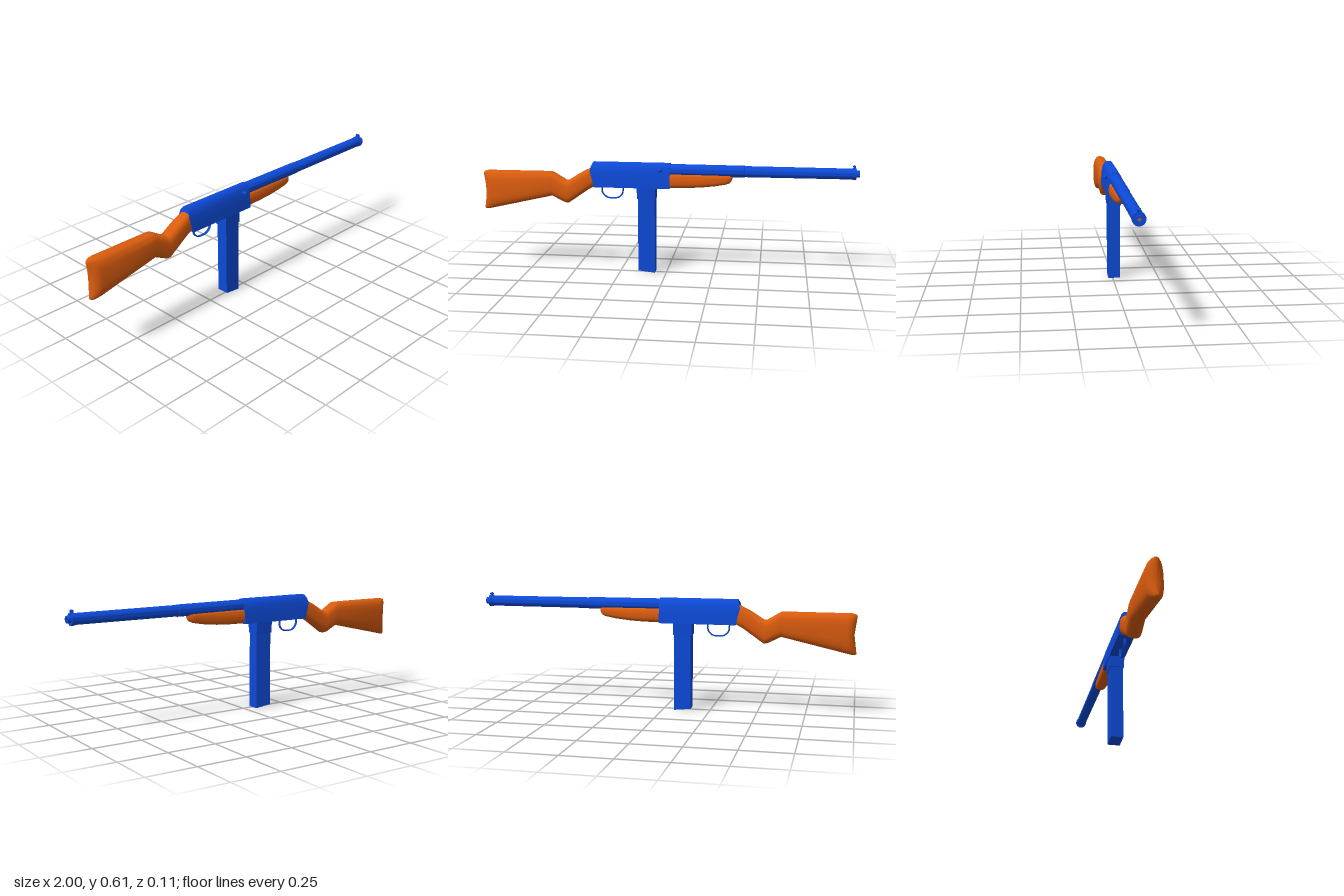
import * as THREE from 'three';
import { toCreasedNormals } from 'three/addons/utils/BufferGeometryUtils.js';

const AXIS_Y = 0.56; // barrel centre line

// Loft along +x: each station is [topX, topY, bottomX, bottomY, halfWidth, hollow]
function loft(stations, power = 0.7, n = 28) {
  const pos = [], idx = [];
  const curve = (v) => Math.sign(v) * Math.pow(Math.abs(v), power);
  for (const [tx, ty, bx, by, w, hollow = 0] of stations) {
    for (let j = 0; j < n; j++) {
      const t = (j / n) * Math.PI * 2;
      const s = curve(Math.sin(t)), c = curve(Math.cos(t));
      pos.push((tx + bx) / 2 + (s * (tx - bx)) / 2 + hollow * (1 - s * s),
        (ty + by) / 2 + (s * (ty - by)) / 2, w * c);
    }
  }
  const rows = stations.length;
  for (let i = 0; i < rows - 1; i++) {
    for (let j = 0; j < n; j++) {
      const k = (j + 1) % n, a = i * n, b = a + n;
      idx.push(a + j, b + j, b + k, a + j, b + k, a + k);
    }
  }
  // end caps
  [stations[0], stations[rows - 1]].forEach(([tx, ty, bx, by, , hollow = 0], e) => {
    const centre = pos.length / 3, row = e ? (rows - 1) * n : 0;
    pos.push((tx + bx) / 2 + hollow, (ty + by) / 2, 0);
    for (let j = 0; j < n; j++) {
      const k = (j + 1) % n;
      idx.push(centre, row + (e ? k : j), row + (e ? j : k));
    }
  });
  const geo = new THREE.BufferGeometry();
  geo.setAttribute('position', new THREE.Float32BufferAttribute(pos, 3));
  geo.setIndex(idx);
  return toCreasedNormals(geo, 0.7);
}

// Move every vertex by a rule
function reshape(geo, rule) {
  const p = geo.attributes.position, v = new THREE.Vector3();
  for (let i = 0; i < p.count; i++) {
    v.fromBufferAttribute(p, i);
    rule(v);
    p.setXYZ(i, v.x, v.y, v.z);
  }
  return toCreasedNormals(geo, 0.5);
}

export function createModel() {
  const blue = new THREE.MeshStandardMaterial({ color: 0x0d4ad8 });
  blue.name = 'blue metal';
  const orange = new THREE.MeshStandardMaterial({ color: 0xdb5c0e });
  orange.name = 'orange wood';

  const model = new THREE.Group();
  model.name = 'model';
  const body = new THREE.Group();
  body.name = 'body';
  body.position.z = -0.008;
  model.add(body);
  const add = (name, geo, mat, x = 0, y = 0, z = 0) => {
    const mesh = new THREE.Mesh(geo, mat);
    mesh.name = name;
    mesh.position.set(x, y, z);
    body.add(mesh);
    return mesh;
  };

  // Shoulder stock with hollowed butt and bent wrist
  add('stock', loft([
    [-1.0, 0.525, -1.0, 0.33, 0.012, 0.013],
    [-0.993, 0.533, -0.993, 0.324, 0.022, 0.011],
    [-0.975, 0.538, -0.975, 0.326, 0.035, 0.005],
    [-0.95, 0.538, -0.95, 0.332, 0.043],
    [-0.64, 0.538, -0.635, 0.404, 0.043],
    [-0.615, 0.536, -0.62, 0.408, 0.043],
    [-0.545, 0.494, -0.55, 0.373, 0.042],
    [-0.53, 0.493, -0.53, 0.37, 0.042],
    [-0.455, 0.54, -0.42, 0.447, 0.041],
    [-0.4, 0.567, -0.38, 0.468, 0.038],
  ], 0.65), orange);

  // Receiver: extruded section with a sloped rear end
  const half = [[0.042, 0.465], [0.04, 0.51], [0.036, 0.55], [0.03, 0.575], [0.019, 0.591], [0.01, 0.596]];
  const outline = [...half, ...half.map(([z, y]) => [-z, y]).reverse()];
  const section = new THREE.Shape(outline.map(([z, y]) => new THREE.Vector2(z, y)));
  const receiver = new THREE.ExtrudeGeometry(section, { depth: 0.43, bevelEnabled: false });
  receiver.rotateY(Math.PI / 2).translate(-0.41, 0, 0);
  add('receiver', reshape(receiver, (v) => {
    if (v.x < -0.2) v.x += v.y < 0.56 ? (0.56 - v.y) * 0.26 : (v.y - 0.56) * 0.5;
  }), blue);

  // Barrel, muzzle collar and bore
  const profile = [[0, 0], [0.032, 0], [0.031, 0.41], [0.029, 0.412], [0.028, 0.965],
    [0.031, 0.965], [0.031, 0.982], [0.018, 0.982], [0.018, 1.0], [0.009, 1.0], [0.009, 0.97]];
  const barrel = new THREE.LatheGeometry(profile.map(([r, x]) => new THREE.Vector2(r, x)), 28);
  barrel.rotateZ(-Math.PI / 2);
  add('barrel', toCreasedNormals(barrel, 0.6), blue, 0, AXIS_Y);
  add('bore', new THREE.CircleGeometry(0.0095, 20).rotateY(Math.PI / 2), orange, 0.972, AXIS_Y);

  // Front sight: post with a rounded head
  add('frontSight', new THREE.BoxGeometry(0.01, 0.02, 0.017), blue, 0.972, 0.588);
  add('frontSightHead', new THREE.CylinderGeometry(0.007, 0.007, 0.017, 14).rotateX(Math.PI / 2), blue, 0.972, 0.598);

  // Fore-end under the barrel
  add('foreEnd', loft([
    [0.015, 0.545, 0.015, 0.466, 0.037],
    [0.1, 0.545, 0.1, 0.467, 0.036],
    [0.18, 0.545, 0.18, 0.471, 0.034],
    [0.26, 0.545, 0.26, 0.48, 0.031],
    [0.315, 0.545, 0.315, 0.49, 0.028],
    [0.335, 0.545, 0.335, 0.498, 0.025],
    [0.346, 0.543, 0.346, 0.515, 0.017],
  ], 0.65), orange);

  // Magazine housing, slightly narrower below
  add('magazineHousing', reshape(new THREE.BoxGeometry(0.098, 0.062, 0.077), (v) => {
    if (v.y < 0) v.z *= 0.94;
  }), blue, -0.106, 0.436);

  // Magazine with a slanted floor
  add('magazine', reshape(new THREE.BoxGeometry(0.09, 0.42, 0.064), (v) => {
    if (v.y < 0 && v.x < 0) v.y += 0.01;
  }), blue, -0.105, 0.21);

  // Trigger guard
  const guard = new THREE.CatmullRomCurve3([[-0.35, 0.47], [-0.345, 0.428], [-0.32, 0.405],
    [-0.29, 0.402], [-0.26, 0.406], [-0.238, 0.428], [-0.235, 0.47]]
    .map(([x, y]) => new THREE.Vector3(x, y, 0)));
  const guardGeo = new THREE.TubeGeometry(guard, 32, 0.004, 8);
  add('triggerGuard', guardGeo.scale(1, 1, 2), blue);

  // Bolt handle on the model's front-facing side
  add('boltHandle', new THREE.CylinderGeometry(0.006, 0.006, 0.035, 12).rotateX(Math.PI / 2), blue, -0.03, 0.564, 0.038);
  add('boltKnob', new THREE.SphereGeometry(0.011, 16, 12), blue, -0.03, 0.565, 0.052);

  return model;
}
